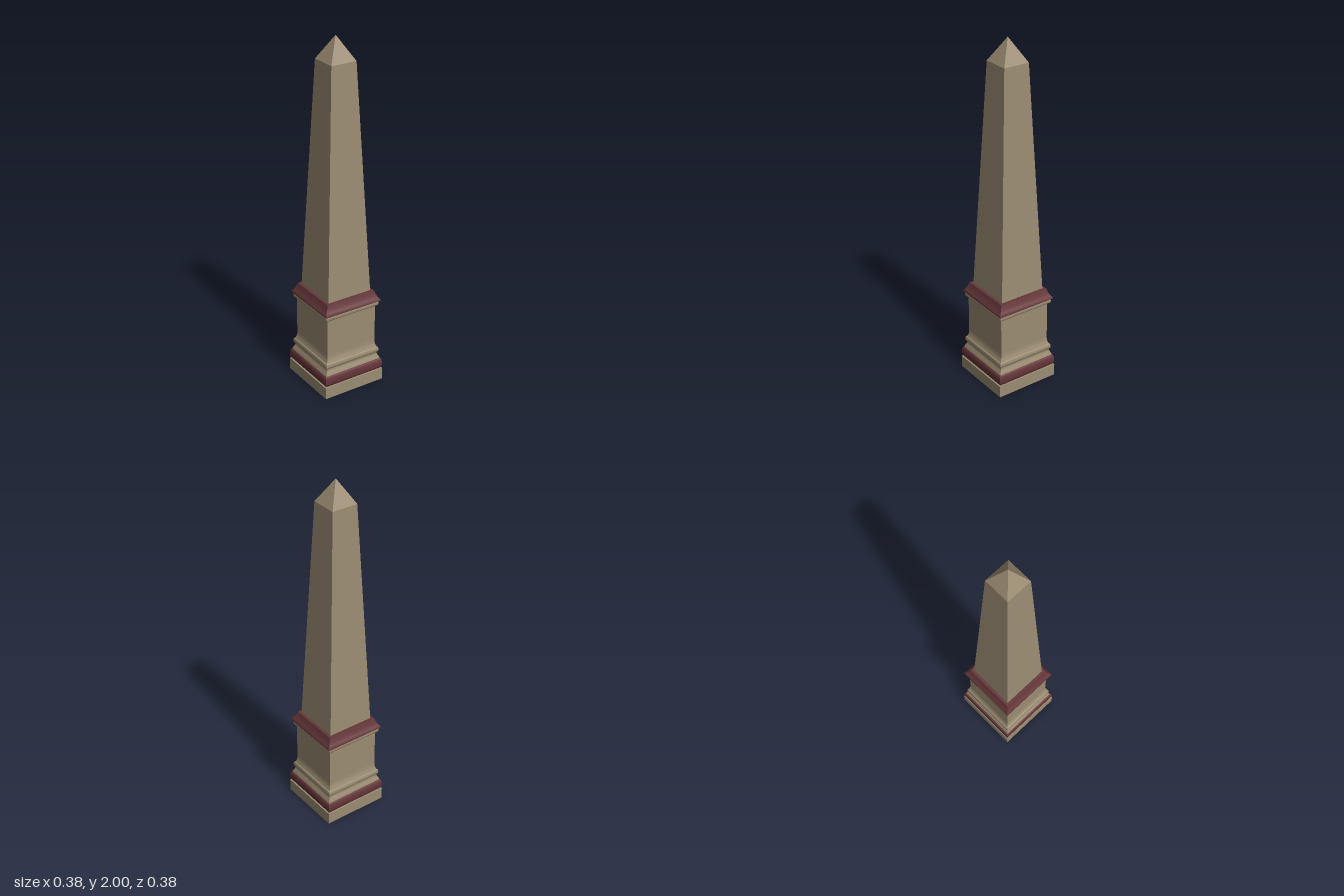
import * as THREE from 'three';
import { toCreasedNormals } from 'three/addons/utils/BufferGeometryUtils.js';

const stone = new THREE.MeshStandardMaterial({ name: 'stone', color: 0x9b8c72 });
const maroon = new THREE.MeshStandardMaterial({ name: 'maroon', color: 0x653639 });

// Square mitred solid from a profile of [half width, height], bottom to top
function squareTurned(name, profile, material, crease = 0.75) {
  const points = profile.map(([w, y]) => new THREE.Vector2(w * Math.SQRT2, y));
  const lathe = new THREE.LatheGeometry(points, 4, Math.PI / 4);
  const mesh = new THREE.Mesh(toCreasedNormals(lathe, crease), material);
  mesh.name = name;
  return mesh;
}

// Rounded run of profile points bulging out between two heights
function bulge(inner, outer, y0, y1, steps = 8) {
  return Array.from({ length: steps + 1 }, (_, i) => {
    const a = (i / steps - 0.5) * Math.PI;
    return [inner + (outer - inner) * Math.cos(a), (y0 + y1) / 2 + Math.sin(a) * (y1 - y0) / 2];
  });
}

export function createModel() {
  const model = new THREE.Group();
  model.name = 'obelisk';

  model.add(
    // Base slab and rounded band
    squareTurned('plinth', [[0, 0], [0.19, 0], [0.19, 0.07], [0, 0.07]], stone),
    squareTurned('baseBand', [[0.17, 0.07], ...bulge(0.178, 0.189, 0.07, 0.135), [0.165, 0.135]], maroon),

    // Pedestal: flared foot, roll moulding, die and cornice underside
    squareTurned('pedestalFoot', [
      [0.179, 0.135], [0.176, 0.145], [0.169, 0.158], [0.165, 0.172],
      ...bulge(0.166, 0.174, 0.174, 0.208),
      [0.165, 0.212], [0.161, 0.22], [0.158, 0.235], [0.157, 0.25],
    ], stone),
    squareTurned('pedestalDie', [[0.157, 0.25], [0.157, 0.474]], stone),
    squareTurned('corniceRoll', [[0.157, 0.474], ...bulge(0.164, 0.171, 0.474, 0.504), [0.15, 0.506]], stone),

    // Sloping cap band
    squareTurned('capBand', [
      [0.155, 0.504], [0.178, 0.504], [0.178, 0.514], [0.17, 0.523],
      [0.163, 0.535], [0.157, 0.55], [0.152, 0.565], [0.12, 0.565],
    ], maroon),

    // Tapered shaft and pointed top
    squareTurned('shaft', [[0.137, 0.56], [0.076, 1.87]], stone, 0.1),
    squareTurned('pyramidion', [[0.076, 1.87], [0, 2]], stone, 0.1),
  );
  return model;
}
